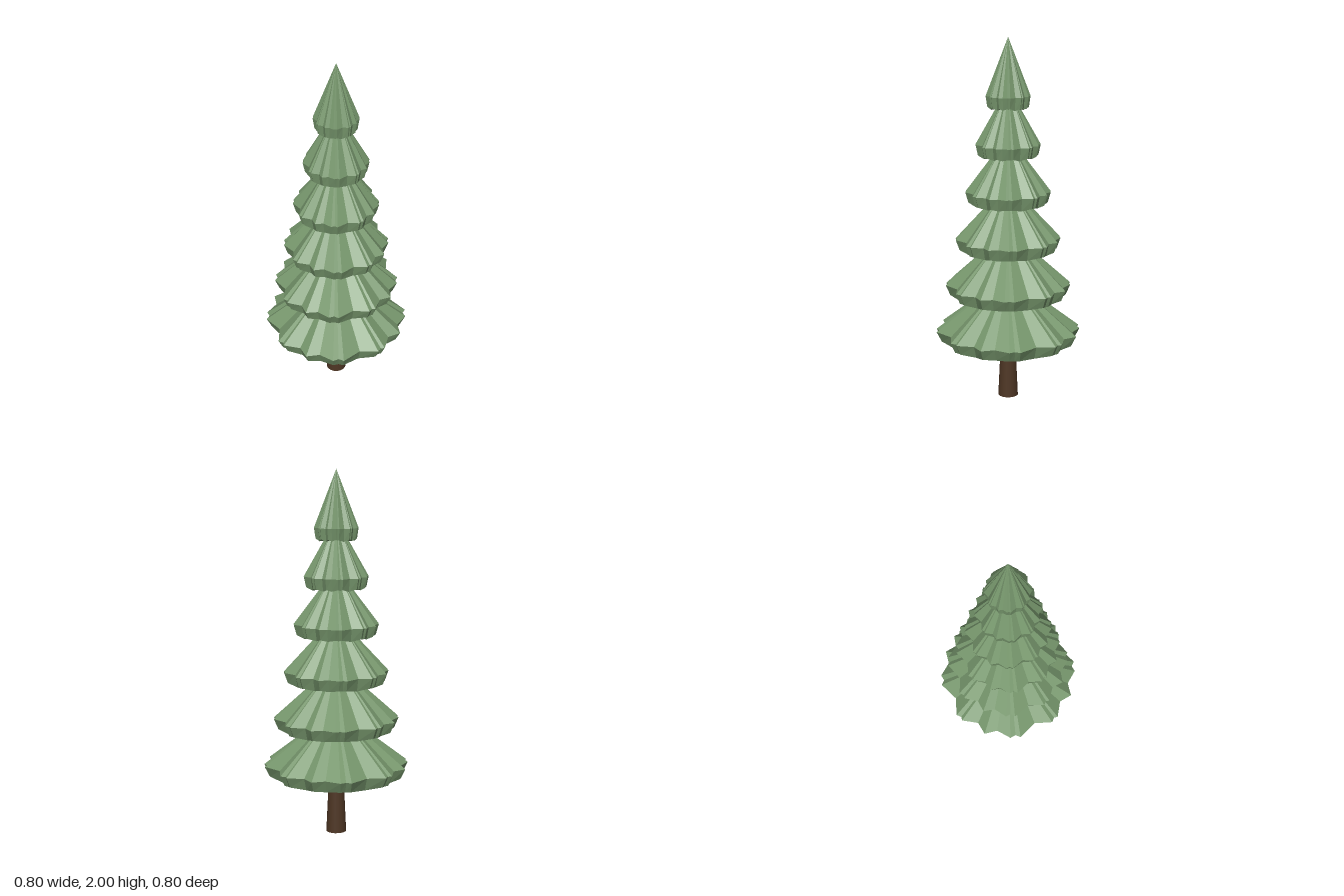
import * as THREE from 'three';

// One quarter of the jagged branch rim: [angle in degrees, radius factor]
const QUARTER = [
  [-3, 1], [13.2, 0.865], [27, 0.995], [31, 0.965], [33.7, 0.993],
  [46.7, 0.885], [56.3, 0.993], [66.3, 0.9], [78.5, 0.995], [83, 0.958],
];

// Star-shaped cone with a short tucked-in skirt and a closed underside
function tierGeometry(radius, rimY, turn) {
  const upper = [], lower = [];
  for (let q = 0; q < 4; q++) {
    for (const [deg, f] of QUARTER) {
      const a = THREE.MathUtils.degToRad(deg + q * 90 + turn);
      const at = (r, y) => new THREE.Vector3(Math.cos(a) * r, y, -Math.sin(a) * r);
      upper.push(at(radius * f, rimY));
      lower.push(at(radius * (f * 0.9 + 0.03), rimY - 0.07 + (f - 0.865) * 0.1));
    }
  }
  const apex = new THREE.Vector3(0, rimY + 0.31, 0);
  const base = new THREE.Vector3(0, rimY - 0.06, 0);
  const points = [];
  upper.forEach((u, i) => {
    const j = (i + 1) % upper.length;
    points.push(u, upper[j], apex);
    points.push(lower[i], lower[j], upper[j], lower[i], upper[j], u);
    points.push(lower[j], lower[i], base);
  });
  const geometry = new THREE.BufferGeometry().setFromPoints(points);
  geometry.computeVertexNormals();
  return geometry;
}

export function createModel() {
  const tree = new THREE.Group();
  tree.name = 'pineTree';

  const needles = new THREE.MeshStandardMaterial({ color: 0x76966c, flatShading: true });
  needles.name = 'needleGreen';
  const bark = new THREE.MeshStandardMaterial({ color: 0x4e3624 });
  bark.name = 'barkBrown';

  // Tapered trunk
  const trunk = new THREE.Mesh(new THREE.CylinderGeometry(0.039, 0.056, 0.36, 16), bark);
  trunk.position.y = 0.18;
  trunk.name = 'trunk';
  tree.add(trunk);

  // Six branch tiers, shrinking towards the top
  for (let i = 0; i < 6; i++) {
    const turn = (i % 2) * -4;
    const tier = new THREE.Mesh(tierGeometry(0.4 - i * 0.056, 0.39 + i * 0.26, turn), needles);
    tier.name = `branchTier${i + 1}`;
    tree.add(tier);
  }
  return tree;
}
